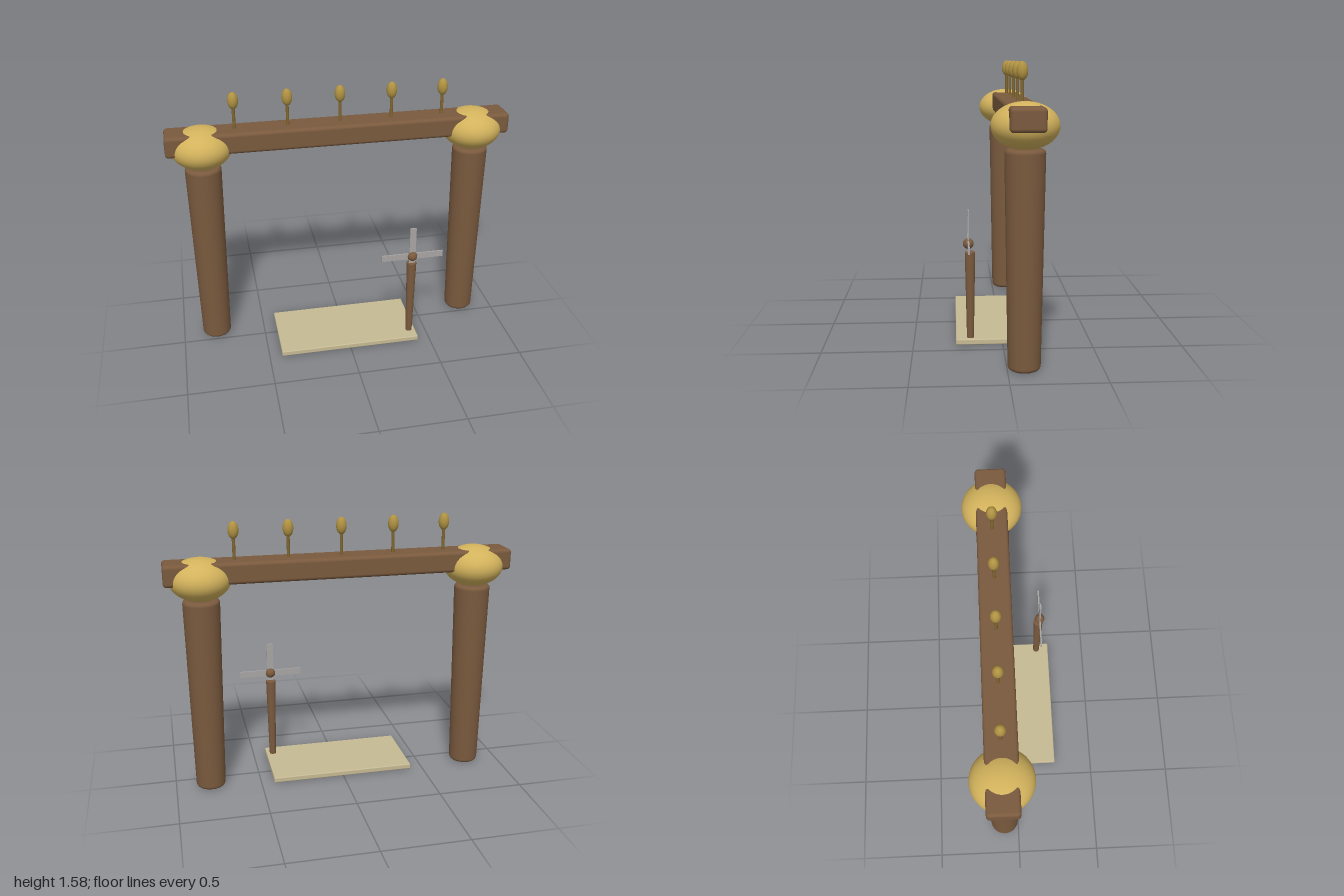
import * as THREE from 'three';
import { RoundedBoxGeometry } from 'three/addons/geometries/RoundedBoxGeometry.js';

const mat = (color) => new THREE.MeshStandardMaterial({ color });

export function createModel() {
  const group = new THREE.Group();
  const wood = mat(0x7a5a3e), gold = mat(0xd2b25c), bulbGold = mat(0xb09242);
  const stemGold = mat(0x80662f), boardTan = mat(0xc6ba94), grey = mat(0xa8a4a4);

  const add = (name, geometry, material, x, y, z, parent = group) => {
    const mesh = new THREE.Mesh(geometry, material);
    mesh.name = name;
    mesh.position.set(x, y, z);
    parent.add(mesh);
    return mesh;
  };

  // Tapered round post with softly rounded ends, standing on its base
  const taperedPost = (rBottom, rTop, height, bevel) => {
    const pts = [new THREE.Vector2(0, 0)];
    const corner = (r, y, from) => {
      for (let i = 0; i <= 5; i++) {
        const a = from + (i / 5) * Math.PI / 2;
        pts.push(new THREE.Vector2(r - bevel + bevel * Math.cos(a), y + bevel * Math.sin(a)));
      }
    };
    corner(rBottom, bevel, -Math.PI / 2);
    corner(rTop, height - bevel, 0);
    pts.push(new THREE.Vector2(0, height));
    return new THREE.LatheGeometry(pts, 40);
  };

  const zBeam = -0.088;

  // Gate posts with flattened round joints
  const postGeo = taperedPost(0.086, 0.104, 1.145, 0.022);
  const jointGeo = new THREE.SphereGeometry(0.173, 48, 32).scale(1, 0.695, 1);
  for (const [side, s] of [['left', 1], ['right', -1]]) {
    add(side + 'Post', postGeo, wood, s * 0.796, 0.005, zBeam);
    add(side + 'Joint', jointGeo, gold, s * 0.796, 1.264, zBeam);
  }

  // Crossbeam
  add('crossbeam', new RoundedBoxGeometry(1.995, 0.122, 0.178, 4, 0.02), wood, 0, 1.304, zBeam);

  // Row of finials along the beam
  const stemGeo = new THREE.CylinderGeometry(0.009, 0.009, 0.15, 16);
  const bulbGeo = new THREE.SphereGeometry(0.03, 24, 16).scale(1, 1.65, 1);
  for (let i = -2; i <= 2; i++) {
    const finial = new THREE.Group();
    finial.name = 'finial';
    finial.position.set(i * 0.302, 1.35, zBeam);
    add('finialStem', stemGeo, stemGold, 0, 0.07, 0, finial);
    add('finialBulb', bulbGeo, bulbGold, 0, 0.178, 0, finial);
    group.add(finial);
  }

  // Ground board
  add('groundBoard', new RoundedBoxGeometry(0.85, 0.032, 0.425, 2, 0.006), boardTan, 0, 0.021, 0.049);

  // Pinwheel on a slim post
  const pinwheel = new THREE.Group();
  pinwheel.name = 'pinwheel';
  pinwheel.position.set(0.385, 0, 0.18);
  group.add(pinwheel);
  add('pinwheelPost', taperedPost(0.019, 0.029, 0.53, 0.005), wood, 0, 0.002, 0, pinwheel);
  add('pinwheelHub', new THREE.SphereGeometry(0.03, 24, 16), wood, 0, 0.578, 0.009, pinwheel);
  const bladeGeo = new THREE.BoxGeometry(0.376, 0.038, 0.009);
  for (let i = 0; i < 2; i++) {
    add('pinwheelBlade', bladeGeo, grey, 0, 0.578, 0.009, pinwheel).rotation.z = i * Math.PI / 2;
  }

  return group;
}
